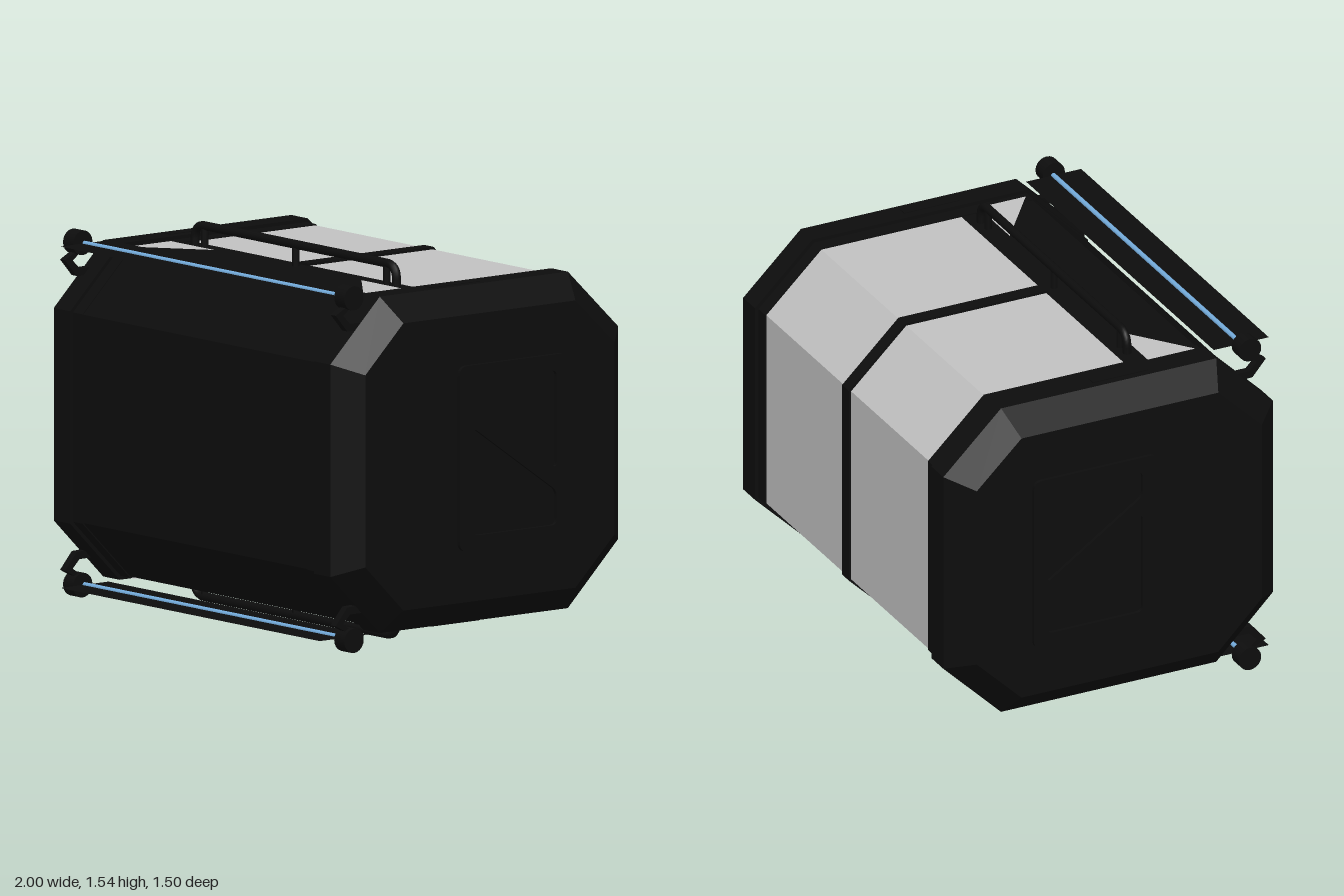
import * as THREE from 'three';
import { ConvexGeometry } from 'three/addons/geometries/ConvexGeometry.js';

const MID_Y = 0.773;

export function createModel() {
  const model = new THREE.Group();
  model.name = 'container';
  const material = (name, color, side = THREE.FrontSide) => {
    const m = new THREE.MeshStandardMaterial({ color, side });
    m.name = name;
    return m;
  };
  const black = material('black', 0x0d0d0d, THREE.DoubleSide);
  const grey = material('light grey', 0xc2c2c2, THREE.DoubleSide);
  const blue = material('light blue', 0x74acdc);

  const add = (parent, name, geometry, mat) => {
    const mesh = new THREE.Mesh(geometry, mat);
    mesh.name = name;
    parent.add(mesh);
    return mesh;
  };

  // Octagonal outline as [z, y] points, offset inwards by d
  const octagon = (d) => {
    const k = 0.414 * d;
    return [
      [0.48 - k, 1.46 - d], [0.735 - d, 1.21 - k], [0.735 - d, 0.345 + k], [0.48 - k, 0.09 + d],
      [-0.49 + k, 0.09 + d], [-0.75 + d, 0.345 + k], [-0.75 + d, 1.21 - k], [-0.49 + k, 1.46 - d],
    ];
  };
  const zyPath = (points, Type = THREE.Shape) =>
    new Type(points.map(([z, y]) => new THREE.Vector2(-z, y)));

  // Extrude a [z, y] outline along x
  const alongX = (shape, x0, x1) =>
    new THREE.ExtrudeGeometry(shape, { depth: x1 - x0, bevelEnabled: false, curveSegments: 6 })
      .rotateY(Math.PI / 2).translate(x0, 0, 0);

  // Body halves, split at z
  const half = (d, z, front) => {
    const o = octagon(d);
    const side = front ? o.slice(0, 4) : [o[7], o[6], o[5], o[4]];
    return zyPath([[z, 1.46 - d], ...side, [z, 0.09 + d]]);
  };
  add(model, 'frontBody', alongX(half(0.02, 0.15, true), -0.75, 0.75), black);
  add(model, 'backSpine', alongX(half(0.01, 0.16, false), -0.03, 0.03), black);

  // Octagon rings joined into a convex solid
  const hull = (rings) => new ConvexGeometry(
    rings.flatMap(([x, d]) => octagon(d).map(([z, y]) => new THREE.Vector3(x, y, z))));

  // Rounded corners for an outline, by radius r
  const rounded = (points, r, Type) => {
    const path = new Type();
    const v = points.map(([z, y]) => new THREE.Vector2(-z, y));
    v.forEach((p, i) => {
      const prev = v[(i + v.length - 1) % v.length];
      const next = v[(i + 1) % v.length];
      const a = p.clone().add(prev.clone().sub(p).setLength(r));
      const b = p.clone().add(next.clone().sub(p).setLength(r));
      if (i === 0) path.moveTo(a.x, a.y); else path.lineTo(a.x, a.y);
      path.quadraticCurveTo(p.x, p.y, b.x, b.y);
    });
    path.closePath();
    return path;
  };

  // Left and right ends
  for (const s of [1, -1]) {
    const end = new THREE.Group();
    end.name = s > 0 ? 'leftEnd' : 'rightEnd';
    end.scale.x = s;
    model.add(end);
    add(end, 'backPanel', alongX(half(0.02, 0.15, false), 0.03, 0.73), grey);
    add(end, 'collar', hull([[0.72, 0.015], [0.79, 0.015]]), black);
    add(end, 'endCap', hull([[0.78, 0], [0.885, 0], [0.985, 0.1]]), black);

    // Raised frame with a diagonal bar
    const frame = rounded([[0.16, 0.4], [0.16, 1.155], [-0.4, 1.155], [-0.4, 0.4]], 0.04, THREE.Shape);
    frame.holes.push(
      rounded([[0.09, 1.09], [-0.34, 1.09], [-0.34, 0.69], [0.09, 0.98]], 0.025, THREE.Path),
      rounded([[0.09, 0.9], [-0.34, 0.6], [-0.34, 0.46], [0.09, 0.46]], 0.025, THREE.Path));
    add(end, 'sideFrame', alongX(frame, 0.975, 1), black);
  }

  // Everything on the top repeats, mirrored, underneath
  for (const s of [1, -1]) {
    const deck = new THREE.Group();
    deck.name = s > 0 ? 'topFittings' : 'bottomFittings';
    deck.scale.y = s;
    deck.position.y = s > 0 ? 0 : 2 * MID_Y;
    model.add(deck);

    // Thin plates laid on the deck, given as [x, z] points
    const plate = (name, points, y, mat) => add(deck, name,
      new THREE.ShapeGeometry(new THREE.Shape(points.map(([x, z]) => new THREE.Vector2(x, -z))))
        .rotateX(-Math.PI / 2).translate(0, y, 0), mat);
    plate('deckInset', [[-0.34, 0.39], [0.34, 0.39], [0.47, 0.24], [-0.47, 0.24]], 1.444, black);

    // Grab rail with rounded corners
    const top = 1.528, z = 0.2, r = 0.018;
    const P = (x, y) => new THREE.Vector3(x, y, z);
    const rail = new THREE.CurvePath();
    rail.add(new THREE.LineCurve3(P(-0.645, 1.42), P(-0.645, top - 0.06)));
    rail.add(new THREE.QuadraticBezierCurve3(P(-0.645, top - 0.06), P(-0.645, top), P(-0.585, top)));
    rail.add(new THREE.LineCurve3(P(-0.585, top), P(0.585, top)));
    rail.add(new THREE.QuadraticBezierCurve3(P(0.585, top), P(0.645, top), P(0.645, top - 0.06)));
    rail.add(new THREE.LineCurve3(P(0.645, top - 0.06), P(0.645, 1.42)));
    add(deck, 'rail', new THREE.TubeGeometry(rail, 120, r, 10), black);
    for (const x of [-0.583, 0, 0.583]) {
      add(deck, 'railPost', new THREE.CylinderGeometry(0.015, 0.015, 0.11, 10), black)
        .position.set(x, 1.475, z);
    }

    // Light bar on a flat sheet
    add(deck, 'lightRod', new THREE.CylinderGeometry(0.011, 0.011, 1.66, 12).rotateZ(Math.PI / 2), blue)
      .position.set(0, 1.468, 0.62);
    plate('lightSheet', [[-0.83, 0.745], [0.83, 0.745], [0.83, 0.497], [-0.83, 0.497]], 1.468, black);

    for (const m of [1, -1]) {
      plate('cornerTriangle', [[m * 0.75, 0.24], [m * 0.47, 0.24], [m * 0.75, 0.455]], 1.448, grey);
      add(deck, 'capPad', new THREE.BoxGeometry(0.04, 0.008, 0.25), black)
        .position.set(m * 0.835, 1.46, 0.065);
      add(deck, 'lightEnd', new THREE.CylinderGeometry(0.05, 0.05, 0.065, 20).rotateZ(Math.PI / 2), black)
        .position.set(m * 0.868, 1.47, 0.625);
      // Bent bracket
      const arm = zyPath([[0.62, 1.45], [0.705, 1.405], [0.645, 1.335], [0.55, 1.33],
        [0.55, 1.365], [0.63, 1.365], [0.665, 1.4], [0.6, 1.45]]);
      add(deck, 'lightBracket', alongX(arm, m * 0.866 - 0.016, m * 0.866 + 0.016), black);
    }
  }
  return model;
}
